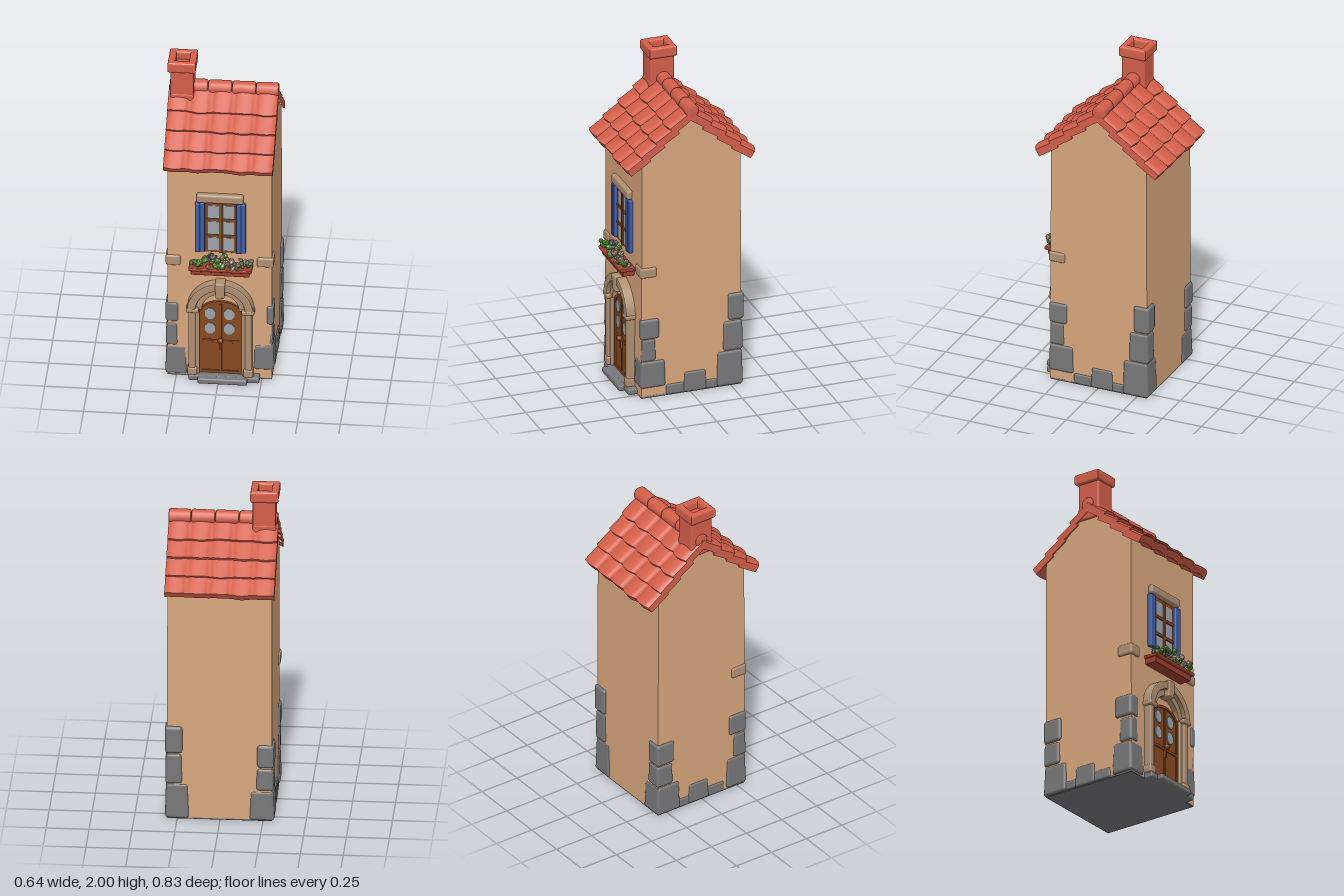
import * as THREE from 'three';
import { RoundedBoxGeometry } from 'three/addons/geometries/RoundedBoxGeometry.js';

const mat = (name, color) => Object.assign(new THREE.MeshStandardMaterial({ color }), { name });

export function createModel() {
  const house = new THREE.Group();
  house.name = 'house';
  const plaster = mat('plaster', 0xd8a67c), tile = mat('roof tile', 0xd35f49), stone = mat('grey stone', 0x78787a),
    trim = mat('sandstone', 0xaf8f72), wood = mat('door wood', 0x87481f), blue = mat('shutter blue', 0x3f5fa8),
    glass = mat('glass', 0x9da3ab), leaf = mat('leaf green', 0x5fa635), bloom = mat('pale blossom', 0xb09684),
    clay = mat('planter clay', 0x9e3f2f);

  let seed = 7;
  const rand = () => ((seed = (seed * 16807) % 2147483647) / 2147483647);

  function add(name, geo, material, parent = house) {
    const m = new THREE.Mesh(geo, material);
    m.name = name;
    parent.add(m);
    return m;
  }
  // Rounded block between two corners; "taper" narrows its top
  function block(name, material, x0, x1, y0, y1, z0, z1, r = 0.008, taper = 0) {
    const w = x1 - x0, h = y1 - y0, d = z1 - z0;
    const g = new RoundedBoxGeometry(w, h, d, 2, Math.min(r, w / 2.1, h / 2.1, d / 2.1));
    if (taper) {
      const p = g.attributes.position;
      for (let i = 0; i < p.count; i++) {
        const k = 1 - taper * (p.getY(i) / h + 0.5);
        p.setX(i, p.getX(i) * k);
        p.setZ(i, p.getZ(i) * k);
      }
    }
    g.translate((x0 + x1) / 2, (y0 + y1) / 2, (z0 + z1) / 2);
    return add(name, g, material);
  }
  function extrude(name, material, shape, z, depth, bevel = 0) {
    const g = new THREE.ExtrudeGeometry(shape, { depth: depth - bevel, curveSegments: 20, bevelEnabled: bevel > 0,
      bevelSize: bevel, bevelOffset: -bevel, bevelThickness: bevel, bevelSegments: 2 });
    g.translate(0, 0, z);
    return add(name, g, material);
  }

  // Walls with both gables, extruded across the house
  const side = new THREE.Shape([[0.305, 0.01], [0.3, 1.5], [0.16, 1.62], [0, 1.765], [-0.16, 1.62], [-0.31, 1.5],
    [-0.315, 0.01]].map(([z, y]) => new THREE.Vector2(-z, y)));
  const walls = new THREE.ExtrudeGeometry(side, { depth: 0.61, bevelEnabled: false });
  walls.rotateY(Math.PI / 2).translate(-0.302, 0, 0);
  add('walls', walls, plaster);
  block('base', stone, -0.303, 0.309, 0, 0.014, -0.314, 0.305, 0.004);

  // Roof: overlapping rows of wavy tiles on each slope
  const columns = 5, roofWidth = 0.64;
  const rows = [[0.0, 1.81, 0.14, 1.715], [0.10, 1.72, 0.23, 1.64], [0.19, 1.645, 0.32, 1.56], [0.28, 1.57, 0.405, 1.487]];
  function tileRow(zTop, yTop, zLow, yLow, sign) {
    const len = Math.hypot(zLow - zTop, yTop - yLow), thick = 0.045;
    const g = new THREE.BoxGeometry(roofWidth, thick, len, columns * 8, 1, 1);
    const shift = Array.from({ length: columns }, () => (rand() - 0.5) * 0.014);
    const p = g.attributes.position;
    for (let i = 0; i < p.count; i++) {
      const u = (p.getX(i) / roofWidth + 0.5) * columns;
      const hump = Math.abs(Math.sin(u * Math.PI));
      p.setY(i, p.getY(i) - thick / 2 - 0.012 + 0.016 * Math.sqrt(hump));
      if (p.getZ(i) > 0) p.setZ(i, p.getZ(i) + shift[Math.min(columns - 1, Math.floor(u))] * hump + 0.01 * hump - 0.005);
    }
    g.computeVertexNormals();
    g.rotateX(Math.atan2(yTop - yLow, zLow - zTop));
    g.translate(0, (yTop + yLow) / 2, (zTop + zLow) / 2);
    if (sign < 0) g.rotateY(Math.PI);
    add(sign > 0 ? 'frontRoofTiles' : 'backRoofTiles', g, tile);
  }
  for (const sign of [1, -1]) for (const r of rows) tileRow(...r, sign);

  // Ridge caps
  const ridge = [-0.315, -0.09, 0.05, 0.19, 0.323];
  for (let i = 0; i < 4; i++) {
    const len = ridge[i + 1] - ridge[i] - 0.003;
    const prof = [[0, 0], [0.034, 0], [0.041, 0.008], [0.043, len - 0.01], [0.036, len], [0, len]];
    const g = new THREE.LatheGeometry(prof.map(([r, y]) => new THREE.Vector2(r, y)), 16);
    g.rotateZ(-Math.PI / 2).translate(ridge[i], 1.799, -0.008);
    add('ridgeTile', g, tile);
  }

  // Chimney: flared shaft with a hollow cap
  block('chimneyFoot', tile, -0.312, -0.166, 1.7, 1.79, -0.085, 0.078, 0.015, 0.08);
  block('chimneyShaft', tile, -0.306, -0.172, 1.7, 1.95, -0.078, 0.07, 0.012);
  const rect = (S, x, y) => new S([[-x, -y], [x, -y], [x, y], [-x, y]].map(([a, b]) => new THREE.Vector2(a, b)));
  const rim = rect(THREE.Shape, 0.07, 0.073);
  rim.holes.push(rect(THREE.Path, 0.052, 0.057));
  const cap = new THREE.ExtrudeGeometry(rim, { depth: 0.04, bevelThickness: 0.014, bevelSize: 0.012, bevelSegments: 3 });
  cap.rotateX(-Math.PI / 2).translate(-0.241, 1.946, -0.005);
  add('chimneyCap', cap, tile);

  // Corner stones: [x0, x1, y0, y1, z0, z1, taper]
  const stones = [
    [-0.315, -0.185, 0.01, 0.205, 0.17, 0.313, 0.1], [-0.312, -0.24, 0.205, 0.36, 0.22, 0.312, 0.08],
    [-0.314, -0.235, 0.365, 0.5, 0.19, 0.31, 0],
    [0.2, 0.321, 0.065, 0.235, 0.155, 0.313, 0.06], [0.285, 0.316, 0.235, 0.375, 0.215, 0.306, 0.08],
    [0.275, 0.319, 0.375, 0.505, 0.195, 0.311, 0],
    [0.18, 0.322, 0.005, 0.225, -0.325, -0.16, 0.08], [0.22, 0.32, 0.225, 0.415, -0.325, -0.2, 0.06],
    [0.22, 0.322, 0.42, 0.59, -0.33, -0.23, 0],
    [-0.317, -0.17, 0.005, 0.19, -0.325, -0.16, 0.08], [-0.314, -0.21, 0.195, 0.335, -0.325, -0.21, 0.05],
    [-0.315, -0.215, 0.34, 0.485, -0.325, -0.2, 0],
  ];
  for (const [x0, x1, y0, y1, z0, z1, taper] of stones)
    block('cornerStone', stone, x0, x1, y0, y1, z0, z1, 0.018, taper);
  // Low stones along the side walls
  for (const x of [-0.298, 0.303]) {
    block('footStone', stone, x - 0.014, x + 0.014, 0.005, 0.13, -0.1, 0.045, 0.012, 0.12);
    block('footStone', stone, x - 0.012, x + 0.012, 0.005, 0.07, 0.035, 0.155, 0.012, 0.06);
    block('footStone', stone, x - 0.012, x + 0.012, 0.005, 0.06, -0.17, -0.09, 0.012, 0.05);
  }
  // Sandstone band ends
  block('bandStone', trim, -0.313, -0.225, 0.755, 0.825, 0.21, 0.313, 0.014);
  block('bandStone', trim, 0.22, 0.318, 0.77, 0.835, 0.21, 0.313, 0.014);

  // Doorway: step, jambs, arch, door
  const cx = 0.01, spring = 0.475;
  block('doorStep', stone, -0.175, 0.24, 0, 0.038, 0.28, 0.36, 0.01);
  block('doorStep', stone, -0.12, 0.17, 0, 0.036, 0.3, 0.392, 0.01);
  const ring = (r0, r1) => {
    const s = new THREE.Shape();
    s.absarc(cx, spring, r1, 0, Math.PI, false);
    s.absarc(cx, spring, r0, Math.PI, 0, true);
    return s;
  };
  extrude('archBand', trim, ring(0.145, 0.195), 0.29, 0.07, 0.008);
  extrude('archInnerBand', trim, ring(0.108, 0.15), 0.29, 0.045, 0.006);
  for (const s of [-1, 1]) {
    const span = (a, b) => (s > 0 ? [cx + a, cx + b] : [cx - b, cx - a]);
    block('jamb', trim, ...span(0.145, 0.185), 0.035, spring, 0.29, 0.35, 0.008);
    block('innerJamb', trim, ...span(0.122, 0.15), 0.035, spring, 0.29, 0.335, 0.006);
    block('capital', trim, ...span(0.125, 0.2), 0.465, 0.492, 0.29, 0.362, 0.008);
    block('jambFoot', trim, ...span(0.135, 0.192), 0.035, 0.085, 0.29, 0.356, 0.008);
  }
  block('keystone', trim, cx - 0.026, cx + 0.026, 0.575, 0.678, 0.29, 0.367, 0.008, -0.15);

  const arched = (half, y0, ySide, rise) => {
    const s = new THREE.Shape();
    s.moveTo(cx - half, y0);
    s.lineTo(cx + half, y0);
    s.absellipse(cx, ySide, half, rise, 0, Math.PI, false);
    return s;
  };
  extrude('door', wood, arched(0.124, 0.036, 0.44, 0.088), 0.295, 0.018);
  // Raised door edge and planks
  const frame = arched(0.124, 0.036, 0.44, 0.088);
  const opening = arched(0.108, 0.055, 0.44, 0.072);
  frame.holes.push(new THREE.Path(opening.getPoints(20)));
  extrude('doorFrame', wood, frame, 0.31, 0.01);
  block('doorRail', wood, cx - 0.007, cx + 0.007, 0.05, 0.51, 0.31, 0.32, 0.002);
  block('doorRail', wood, cx - 0.11, cx + 0.11, 0.245, 0.262, 0.31, 0.32, 0.002);
  for (const x of [-0.052, 0.06]) for (const y of [0.342, 0.442]) {
    const g = new THREE.CylinderGeometry(0.036, 0.036, 0.008, 8);
    g.rotateY(Math.PI / 8).rotateX(Math.PI / 2).scale(0.9, 1.1, 1).translate(x, y, 0.315);
    add('doorPane', g, glass);
  }
  add('doorKnob', new THREE.SphereGeometry(0.017, 12, 8).translate(cx, 0.265, 0.332), wood);
  block('doorHandle', wood, cx - 0.006, cx + 0.006, 0.2, 0.26, 0.315, 0.328, 0.004);

  // Window: frame with six panes, shutters, lintel
  block('windowFrame', wood, -0.085, 0.103, 0.86, 1.205, 0.29, 0.308, 0.003);
  for (const x of [-0.032, 0.054]) for (const y of [0.918, 1.028, 1.138])
    block('windowPane', glass, x - 0.033, x + 0.033, y - 0.044, y + 0.044, 0.304, 0.3105, 0.002);
  block('windowMullion', wood, 0.0, 0.02, 0.86, 1.2, 0.3, 0.318, 0.004);
  for (const y of [0.973, 1.083]) block('windowBar', wood, -0.08, 0.1, y - 0.009, y + 0.009, 0.3, 0.315, 0.003);
  for (const [x0, x1] of [[-0.14, -0.083], [0.101, 0.157]]) {
    const mid = (x0 + x1) / 2;
    block('shutter', blue, x0, mid + 0.001, 0.865, 1.2, 0.295, 0.328, 0.006);
    block('shutter', blue, mid - 0.001, x1, 0.868, 1.204, 0.295, 0.325, 0.006);
  }
  block('lintel', trim, -0.132, 0.143, 1.205, 1.262, 0.285, 0.332, 0.014);

  // Flower box with leaves and blossoms
  block('planter', clay, -0.158, 0.182, 0.738, 0.785, 0.295, 0.375, 0.004, -0.05);
  block('planterRim', clay, -0.172, 0.198, 0.772, 0.792, 0.292, 0.393, 0.005);
  function sprig(name, material, x, y, z, r) {
    const g = new THREE.IcosahedronGeometry(r, 0);
    g.scale(1, 0.75, 0.8).rotateZ(rand() * 3).rotateX(rand() * 3).translate(x, y, z);
    add(name, g, material);
  }
  for (let i = 0; i < 48; i++) {
    const t = i / 47, x = -0.155 + 0.345 * t;
    const y = 0.795 + rand() * (0.045 + 0.025 * Math.sin(t * Math.PI));
    const z = 0.325 + rand() * 0.068;
    const green = i % 5 < 2;
    sprig(green ? 'leaf' : 'blossom', green ? leaf : bloom, x, y, z, 0.016 + rand() * 0.01);
  }
  for (const [x, y] of [[-0.06, 0.86], [-0.035, 0.872], [-0.015, 0.862], [-0.04, 0.85]])
    sprig('blueBlossom', blue, x, y, 0.36, 0.014);

  return house;
}
